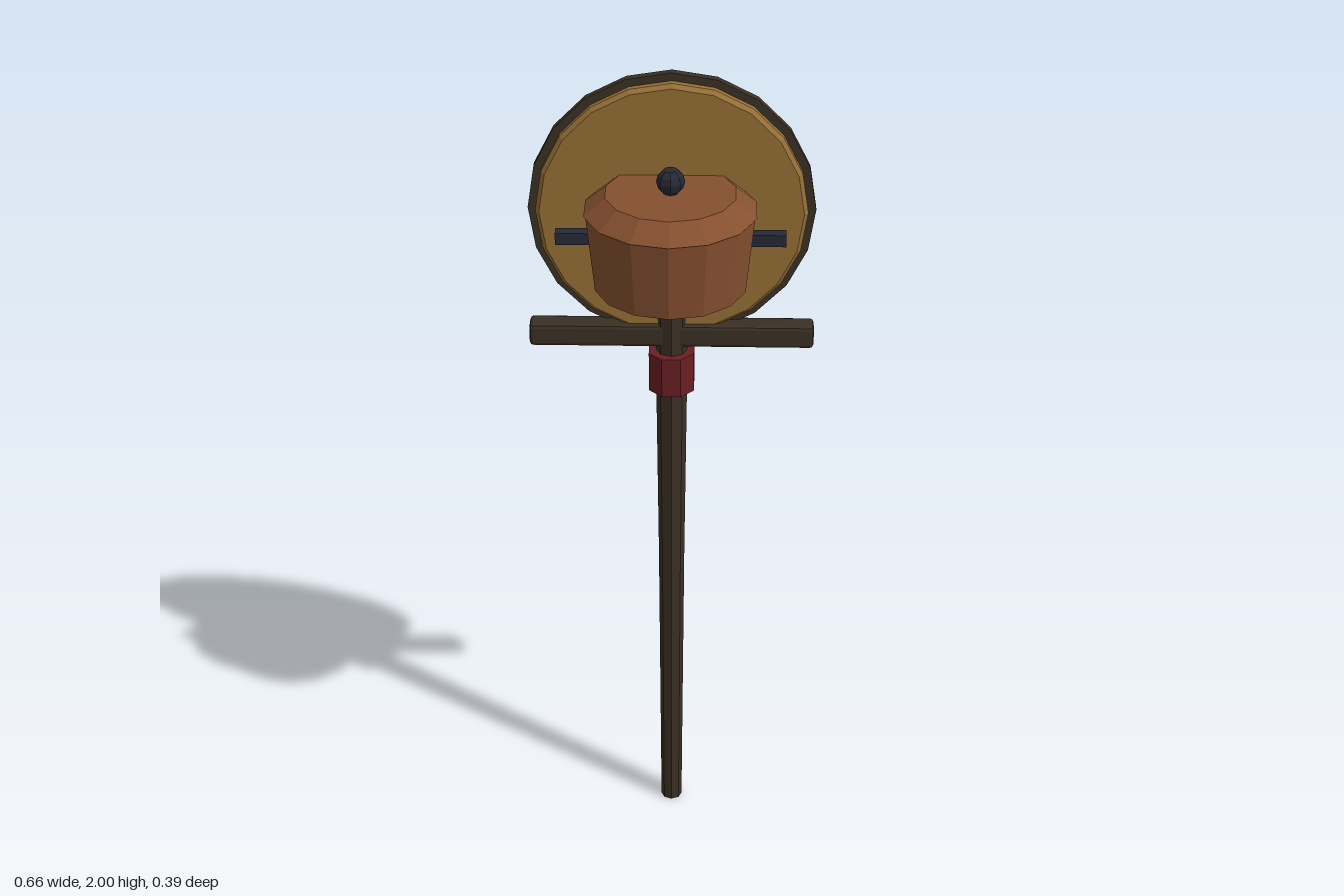
import * as THREE from 'three';
import { RoundedBoxGeometry } from 'three/addons/geometries/RoundedBoxGeometry.js';

const POLE_Z = -0.103;
const DISC_Y = 1.675;

function material(name, color) {
  const m = new THREE.MeshStandardMaterial({ color, flatShading: true });
  m.name = name;
  return m;
}

export function createModel() {
  const group = new THREE.Group();
  const wood = material('darkWood', 0x3a3024);
  const gold = material('agedGold', 0x966f36);
  const copper = material('copper', 0x85502f);
  const iron = material('darkIron', 0x262935);
  const red = material('redCloth', 0x6a1f22);

  function add(name, geometry, mat, x = 0, y = 0, z = 0) {
    const mesh = new THREE.Mesh(geometry, mat);
    mesh.name = name;
    mesh.position.set(x, y, z);
    group.add(mesh);
    return mesh;
  }

  // Turned solid from [radius, height] pairs, including its end caps
  const lathe = (points, sides) =>
    new THREE.LatheGeometry(points.map(([r, y]) => new THREE.Vector2(r, y)), sides);

  // Pole, slightly wider towards the top
  add('pole', lathe([[0, 0], [0.026, 0], [0.031, 0.76], [0.036, 1.22], [0.036, 1.49], [0, 1.49]], 8),
    wood, 0, 0, POLE_Z);

  // Octagonal wrap below the crossbar, flat side to the front
  const collar = add('collar', new THREE.CylinderGeometry(0.057, 0.057, 0.098, 8), red, 0, 1.272, POLE_Z);
  collar.rotation.y = Math.PI / 8;

  // Chamfered crossbar
  add('crossbar', new RoundedBoxGeometry(0.656, 0.055, 0.056, 1, 0.009), wood, 0, 1.367, POLE_Z);

  // Round sign: dark backing board and a bevelled front panel
  const backing = add('signBacking', new THREE.CylinderGeometry(0.325, 0.325, 0.02, 20), wood, 0, DISC_Y, -0.125);
  backing.rotation.x = Math.PI / 2;
  const panel = add('signPanel', lathe([[0, 0], [0.307, 0], [0.307, 0.016], [0.298, 0.026], [0, 0.026]], 20),
    gold, 0, DISC_Y, -0.116);
  panel.rotation.x = Math.PI / 2;

  // Cooking pot, passing through the sign
  add('potBody', lathe([[0, 1.545], [0.172, 1.545], [0.191, 1.73], [0, 1.73]], 14), copper);
  add('potLid', lathe([[0, 1.728], [0.195, 1.728], [0.147, 1.768], [0, 1.768]], 14), copper);
  add('lidKnob', new THREE.SphereGeometry(0.032, 8, 6), iron, 0, 1.795, 0);

  // Side handles
  for (const side of [-1, 1]) {
    add(side > 0 ? 'leftHandle' : 'rightHandle', new THREE.BoxGeometry(0.1, 0.028, 0.028),
      iron, side * 0.206, 1.659, 0);
  }
  return group;
}
